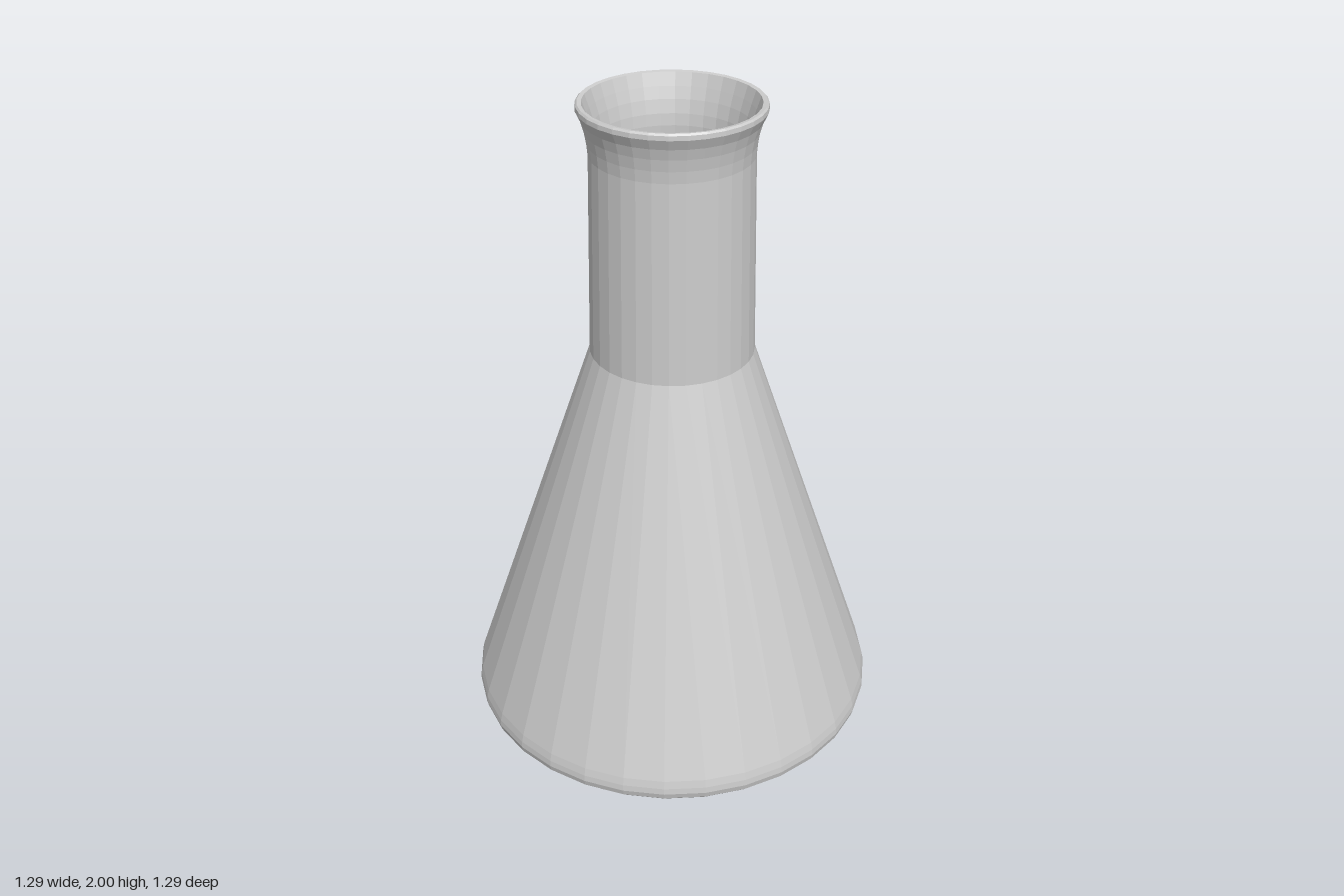
import * as THREE from 'three';

const SEGMENTS = 32;

export function createModel() {
  const model = new THREE.Group();
  model.name = 'conicalFlask';
  const glass = new THREE.MeshStandardMaterial({ color: 0xcccccc, flatShading: true });
  glass.name = 'pale grey glass';

  // Revolve a profile of [radius, height] pairs; upward profiles face outward
  const turn = (name, profile) => {
    const points = profile.map(([r, y]) => new THREE.Vector2(r, y));
    const mesh = new THREE.Mesh(new THREE.LatheGeometry(points, SEGMENTS), glass);
    mesh.name = name;
    model.add(mesh);
  };

  // Flat base with a rounded heel
  turn('base', [
    [0, 0], [0.605, 0], [0.627, 0.006], [0.64, 0.02], [0.645, 0.04], [0.643, 0.06], [0.637, 0.085],
  ]);

  // Sloping cone
  turn('body', [[0.637, 0.085], [0.247, 1.24]]);

  // Slightly tapering neck
  turn('neck', [[0.247, 1.24], [0.236, 1.85]]);

  // Flared lip, rolling over the rim
  turn('lip', [
    [0.236, 1.85], [0.239, 1.885], [0.245, 1.92], [0.254, 1.952], [0.268, 1.982],
    [0.267, 1.995], [0.262, 2], [0.25, 1.998],
  ]);

  // Inner wall, from the rim down to the floor
  turn('innerWall', [
    [0.25, 1.998], [0.237, 1.96], [0.226, 1.925], [0.217, 1.885], [0.213, 1.85],
    [0.223, 1.24], [0.613, 0.08], [0.618, 0.05], [0.605, 0.03], [0, 0.03],
  ]);

  return model;
}
